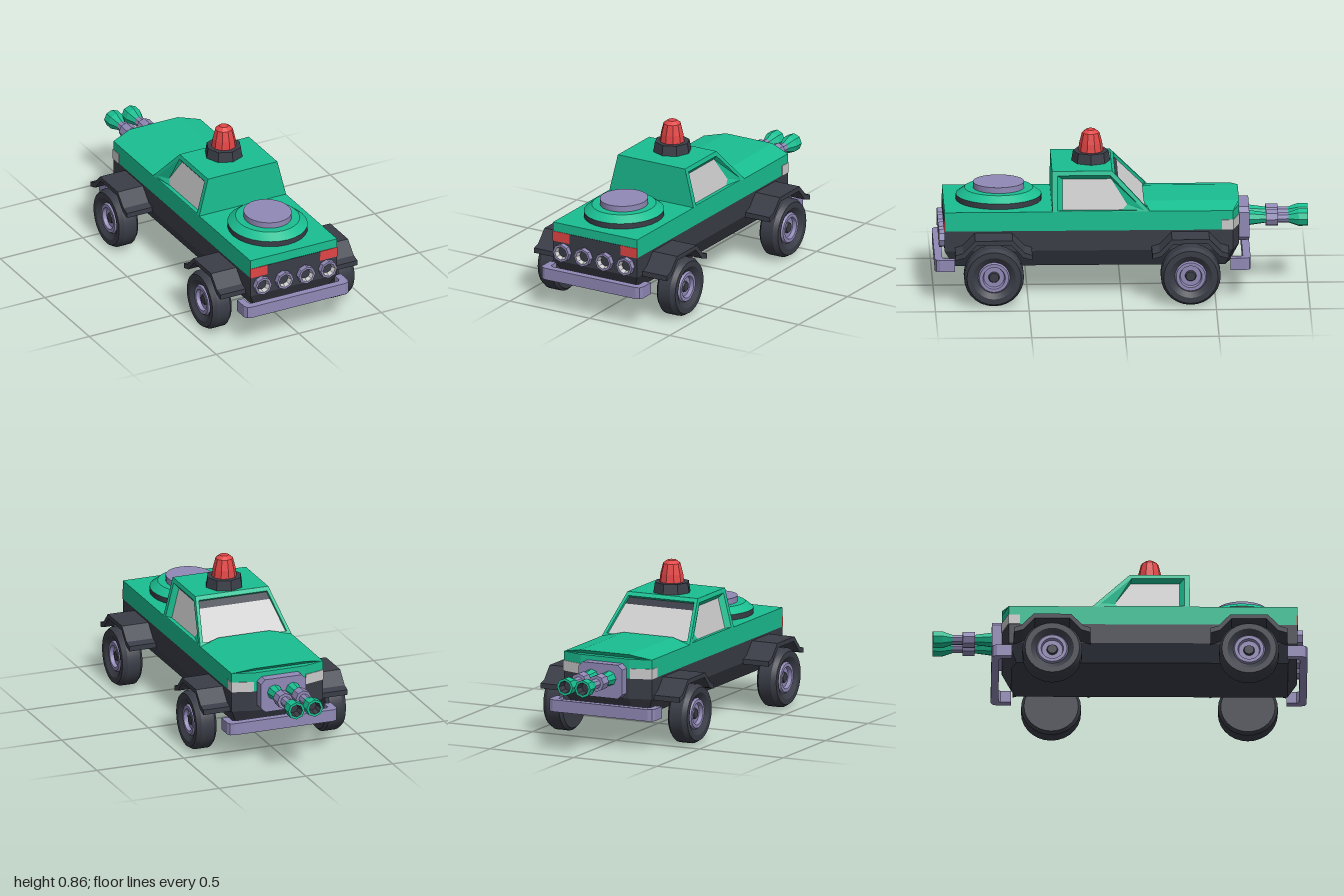
import * as THREE from 'three';
import { toCreasedNormals } from 'three/addons/utils/BufferGeometryUtils.js';

const mat = (color, flatShading = true) => new THREE.MeshStandardMaterial({ color, flatShading, side: THREE.DoubleSide });
const green = mat(0x1abf92), dark = mat(0x3a3d47), steel = mat(0x9089b6), red = mat(0xe24545), grey = mat(0xcccccc);
const smooth = { green: mat(0x1abf92, false), dark: mat(0x3a3d47, false), steel: mat(0x9089b6, false) };

// Skin a list of equal-length loops of [x, y, z]; optional flat caps at start and end
function loft(loops, capStart = false, capEnd = false) {
  const pos = [], tri = (...p) => p.forEach(v => pos.push(...v));
  for (let k = 0; k + 1 < loops.length; k++) {
    const a = loops[k], b = loops[k + 1], n = a.length;
    for (let i = 0; i < n; i++) {
      const j = (i + 1) % n;
      tri(a[i], a[j], b[j]);
      tri(a[i], b[j], b[i]);
    }
  }
  const fan = l => { for (let i = 1; i + 1 < l.length; i++) tri(l[0], l[i], l[i + 1]); };
  if (capStart) fan([...loops[0]].reverse());
  if (capEnd) fan(loops[loops.length - 1]);
  const g = new THREE.BufferGeometry();
  g.setAttribute('position', new THREE.Float32BufferAttribute(pos, 3));
  g.computeVertexNormals();
  return g;
}
const face = loop => loft([loop], false, true);
const flip = loop => loop.map(([x, y, z]) => [-x, y, z]).reverse();
const lathe = (pts, sides) => new THREE.LatheGeometry(pts.map(p => new THREE.Vector2(...p)), sides);
const shapeOf = pts => new THREE.Shape(pts.map(p => new THREE.Vector2(...p)));
const extrude = (pts, depth) => new THREE.ExtrudeGeometry(shapeOf(pts), { depth, bevelEnabled: false });

function add(parent, name, geometry, material, x = 0, y = 0, z = 0) {
  const m = new THREE.Mesh(geometry, material);
  m.name = name;
  m.position.set(x, y, z);
  parent.add(m);
  return m;
}
function addGroup(parent, name, x = 0, y = 0, z = 0) {
  const g = new THREE.Group();
  g.name = name;
  g.position.set(x, y, z);
  parent.add(g);
  return g;
}

// Plan outline of the body: square tail at +z, chamfered nose at -z
const plan = (y, hw, tail, side, nose) => [[hw, y, tail], [hw, y, side], [0.145, y, nose],
  [-0.145, y, nose], [-hw, y, side], [-hw, y, tail]];

function buildBody(car) {
  const full = y => plan(y, 0.263, 0.945, -0.595, -0.63);
  add(car, 'chassis', loft([plan(0.17, 0.215, 0.895, -0.555, -0.58), full(0.265), full(0.375)], true, true), dark);
  add(car, 'upperBody', loft([full(0.375), full(0.48)], false, true), green);
  // Hood with a raised centre
  const hood = (z0, z1) => [[0.263, 0.48, z0], [0.145, 0.505, z1], [-0.145, 0.505, z1], [-0.263, 0.48, z0]];
  add(car, 'hood', loft([hood(-0.595, -0.63), hood(-0.14, -0.12)], true, true), green);
  // Tail panel and lamps
  add(car, 'tailPanel', new THREE.BoxGeometry(0.32, 0.055, 0.01), dark, 0, 0.4025, 0.943);
  for (const s of [1, -1]) {
    add(car, 'tailLamp', new THREE.BoxGeometry(0.105, 0.055, 0.01), red, s * 0.211, 0.4025, 0.943);
    const lamp = y => [[0.266, y, -0.535], [0.266, y, -0.598], [0.15, y, -0.633], [0.15, y, -0.6], [0.24, y, -0.535]];
    const loops = [lamp(0.375), lamp(0.43)].map(l => (s > 0 ? l : flip(l)));
    add(car, 'headLamp', loft(loops, true, true), grey);
  }
}

function buildCabin(car) {
  const cabin = addGroup(car, 'cabin');
  const halfWidth = y => 0.263 - (y - 0.48) * 0.252;
  add(cabin, 'roof', face([[0.21, 0.69, 0.37], [0.21, 0.69, 0.05], [-0.21, 0.69, 0.05], [-0.21, 0.69, 0.37]]), green);
  add(cabin, 'backWall', face([[-0.263, 0.48, 0.37], [0.263, 0.48, 0.37], [0.21, 0.69, 0.37], [-0.21, 0.69, 0.37]]), green);
  // Side walls with recessed windows, points given as [z, y]
  const onSide = (pts, inset) => pts.map(([z, y]) => [halfWidth(y) - inset, y, z]);
  const wall = onSide([[0.37, 0.48], [-0.15, 0.48], [-0.13, 0.501], [0.05, 0.69], [0.37, 0.69]], 0);
  const opening = [[0.342, 0.484], [-0.12, 0.484], [-0.105, 0.5], [0.06, 0.667], [0.342, 0.667]];
  const pane = [[0.315, 0.482], [-0.005, 0.482], [-0.03, 0.51], [0.055, 0.643], [0.315, 0.643]];
  const frame = [wall, onSide(opening, 0), onSide(pane, 0.025)];
  for (const turn of [l => l, flip]) {
    add(cabin, 'sideWall', loft(frame.map(turn)), green);
    add(cabin, 'sideWindow', face(turn(frame[2])), grey);
  }
  // Windshield frame, recessed glass and dark sun strip
  const slope = (y0, y1, margin, inset) => [[1, y0], [-1, y0], [-1, y1], [1, y1]].map(([s, y]) =>
    [s * (halfWidth(y) - margin), y - inset * 0.69, -0.15 + (y - 0.48) * 0.952 + inset * 0.72]);
  add(cabin, 'windshieldFrame', loft([slope(0.48, 0.69, 0, 0), slope(0.495, 0.672, 0.018, 0),
    slope(0.495, 0.672, 0.018, 0.015)]), green);
  add(cabin, 'windshield', face(slope(0.495, 0.641, 0.018, 0.015)), grey);
  add(cabin, 'sunStrip', face(slope(0.641, 0.672, 0.018, 0.015)), dark);
}

function buildBeacon(car) {
  const beacon = addGroup(car, 'beacon', 0, 0.69, 0.158);
  add(beacon, 'beaconBase', lathe([[0.104, 0], [0.095, 0.055], [0, 0.055]], 8), dark);
  add(beacon, 'beaconLamp', lathe([[0.067, 0.055], [0.061, 0.1], [0.047, 0.155], [0.025, 0.172], [0, 0.172]], 10), red);
}

function buildHatch(car) {
  const hatch = addGroup(car, 'hatch', 0, 0.48, 0.65);
  hatch.scale.z = 1.09;
  const disc = (name, pts, m) => add(hatch, name, toCreasedNormals(lathe(pts, 28), 0.5), m);
  disc('hatchRing', [[0.21, 0], [0.21, 0.03]], smooth.dark);
  disc('hatchCollar', [[0.21, 0.03], [0.168, 0.064], [0, 0.064]], smooth.green);
  disc('hatchLid', [[0.126, 0.06], [0.126, 0.096], [0, 0.096]], smooth.steel);
}

function buildWheels(car) {
  const tyre = [[0, 0], [0.145, 0], [0.16, 0.015], [0.16, 0.09], [0.145, 0.115], [0.115, 0.115], [0.085, 0.095]];
  const rim = [[0.085, 0.095], [0.078, 0.106], [0.06, 0.106], [0.055, 0.085], [0.03, 0.085]];
  const cap = [[0.03, 0.085], [0.025, 0.096], [0, 0.096]];
  const turned = pts => toCreasedNormals(lathe(pts, 28), 0.5).rotateZ(-Math.PI / 2);
  // Thin folded mudguard with flared lips
  const half = [[0.205, 0.285], [0.165, 0.297], [0.1, 0.365]];
  const under = [[0.093, 0.34], [0.155, 0.272], [0.205, 0.257]];
  const mirrored = pts => pts.map(([u, v]) => [-u, v]).reverse();
  const guard = extrude([...half, ...mirrored(half), ...mirrored(under), ...under], 0.155).rotateY(Math.PI / 2);

  for (const z of [0.685, -0.365]) for (const s of [1, -1]) {
    const wheel = addGroup(car, 'wheel', s * 0.315, 0.16, z);
    wheel.rotation.y = s > 0 ? 0 : Math.PI;
    add(wheel, 'tyre', turned(tyre), smooth.dark);
    add(wheel, 'rim', turned(rim), smooth.steel);
    add(wheel, 'hubCap', turned(cap), smooth.dark);
    add(car, 'mudguard', guard, dark, s > 0 ? 0.26 : -0.415, 0, z);
  }
}

function buildBumpers(car) {
  const half = [[0.315, 0], [0.275, 0], [0.275, 0.055], [0.262, 0.067]];
  const outer = [[0.285, 0.108], [0.306, 0.1], [0.315, 0.08]];
  const mirrored = pts => pts.map(([u, v]) => [-u, v]).reverse();
  const bar = extrude([...half, ...mirrored(half), ...mirrored(outer), ...outer], 0.065).rotateX(Math.PI / 2);
  add(car, 'tailBumper', bar, steel, 0, 0.23, 0.89);
  add(car, 'noseBumper', bar, steel, 0, 0.23, -0.58).rotation.y = Math.PI;
}

function buildExhausts(car) {
  const along = pts => lathe(pts, 8).rotateX(Math.PI / 2);
  for (const x of [-0.198, -0.066, 0.066, 0.198]) {
    const pipe = addGroup(car, 'exhaust', x, 0.322, 0.94);
    add(pipe, 'pipeRim', along([[0.05, 0], [0.05, 0.034], [0.037, 0.034]]), steel);
    add(pipe, 'pipeLiner', along([[0.037, 0.034], [0.029, 0.008]]), grey);
    add(pipe, 'pipeCore', along([[0.029, 0.008], [0, 0.008]]), dark);
  }
}

function buildGuns(car) {
  // Mounting plate with clipped corners
  const plate = [[0.13, -0.068], [0.13, 0.068], [0.105, 0.092], [-0.105, 0.092],
    [-0.13, 0.068], [-0.13, -0.068], [-0.105, -0.092], [0.105, -0.092]];
  add(car, 'gunPlate', extrude(plate, 0.065), steel, 0, 0.362, -0.685);
  const along = pts => lathe(pts, 8).rotateX(-Math.PI / 2);
  for (const s of [1, -1]) {
    const gun = addGroup(car, 'gun', s * 0.053, 0.378, -0.68);
    add(gun, 'gunRoot', along([[0.042, 0], [0.028, 0.1]]), green);
    add(gun, 'gunCollar', along([[0.02, 0.095], [0.045, 0.095], [0.045, 0.16], [0.02, 0.16]]), steel);
    add(gun, 'gunBarrel', along([[0.028, 0.155], [0.028, 0.22]]), steel);
    add(gun, 'muzzle', along([[0.028, 0.215], [0.048, 0.27], [0.048, 0.32], [0.034, 0.32]]), green);
    add(gun, 'bore', along([[0.034, 0.32], [0.028, 0.27], [0, 0.27]]), dark);
  }
}

export function createModel() {
  const car = new THREE.Group();
  car.name = 'armedCar';
  [buildBody, buildCabin, buildBeacon, buildHatch, buildWheels, buildBumpers, buildExhausts, buildGuns].forEach(f => f(car));
  return car;
}
